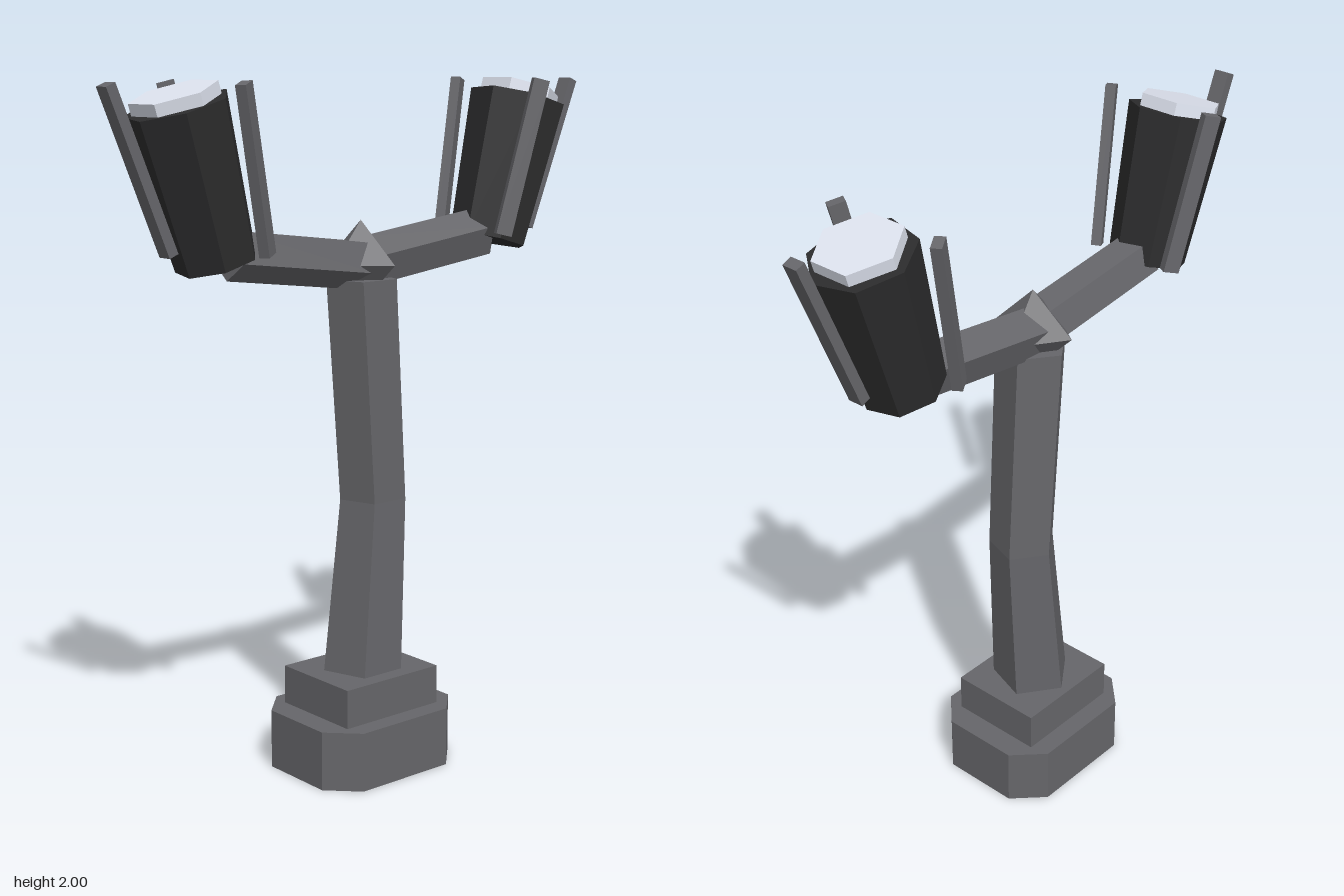
import * as THREE from 'three';

const mat = (color) => new THREE.MeshStandardMaterial({ color, flatShading: true });

function part(parent, name, geometry, material) {
  const mesh = new THREE.Mesh(geometry, material);
  mesh.name = name;
  parent.add(mesh);
  return mesh;
}

// Straight prism running from point a to point b in the xy plane
function prism(parent, name, a, b, r0, r1, sides, thetaStart, material) {
  const dx = b[0] - a[0], dy = b[1] - a[1];
  const geo = new THREE.CylinderGeometry(r1, r0, Math.hypot(dx, dy), sides, 1, false, thetaStart);
  const mesh = part(parent, name, geo, material);
  mesh.position.set((a[0] + b[0]) / 2, (a[1] + b[1]) / 2, 0);
  mesh.rotation.z = Math.atan2(-dx, dy);
  return mesh;
}

export function createModel() {
  const model = new THREE.Group();
  model.name = 'twinLampPost';
  const iron = mat(0x66666a), black = mat(0x2c2c2d), glass = mat(0xdde2ee);

  // Foot: chamfered plinth with a square step on it
  const w = 0.245, d = 0.203, c = 0.085;
  const outline = new THREE.Shape([
    [w, c - d], [w, d - c], [w - c, d], [c - w, d],
    [-w, d - c], [-w, c - d], [c - w, -d], [w - c, -d],
  ].map(([x, y]) => new THREE.Vector2(x, y)));
  const plinth = new THREE.ExtrudeGeometry(outline, { depth: 0.175, bevelEnabled: false });
  part(model, 'plinth', plinth.rotateX(-Math.PI / 2), iron);
  part(model, 'step', new THREE.BoxGeometry(0.345, 0.115, 0.29), iron).position.y = 0.2325;

  // Five-sided post with a bend halfway up: [x, y, radius] per ring
  const rings = [[0.003, 0.28, 0.12], [0.043, 0.8, 0.1], [0, 1.445, 0.105]];
  const postGeo = new THREE.CylinderGeometry(1, 1, 2, 5, 2, false, Math.PI);
  const p = postGeo.attributes.position;
  for (let i = 0; i < p.count; i++) {
    const [x, y, r] = rings[Math.round(p.getY(i)) + 1];
    p.setXYZ(i, x + p.getX(i) * r, y, p.getZ(i) * r);
  }
  postGeo.computeVertexNormals();
  part(model, 'post', postGeo, iron);

  // Pointed joint where the arms meet the post
  const joint = part(model, 'joint', new THREE.OctahedronGeometry(0.122), iron);
  joint.position.y = 1.488;
  joint.rotation.y = 0.2;

  for (const s of [-1, 1]) {
    const side = new THREE.Group();
    side.name = s > 0 ? 'leftLamp' : 'rightLamp';
    model.add(side);

    // Arm and lamp housing
    prism(side, 'arm', [0, 1.487], [s * 0.46, 1.546], 0.075, 0.075, 5, -Math.PI / 2, iron);
    prism(side, 'housing', [s * 0.5, 1.523], [s * 0.62, 1.939], 0.115, 0.145, 7, Math.PI, black);
    prism(side, 'lens', [s * 0.61, 1.905], [s * 0.63, 1.972], 0.12, 0.12, 6, 0, glass);

    // Three flared fins around the housing
    for (let k = 0; k < 3; k++) {
      const angle = (s > 0 ? 0 : Math.PI) + k * Math.PI * 2 / 3;
      const fin = part(side, 'fin', new THREE.BoxGeometry(0.03, k ? 0.46 : 0.475, 0.047), iron);
      fin.position.set(s * 0.57 + Math.cos(angle) * 0.173, 1.773, Math.sin(angle) * 0.178);
      fin.rotateZ(-s * 0.28).rotateY(-angle).rotateZ(-0.107);
    }
  }
  return model;
}
